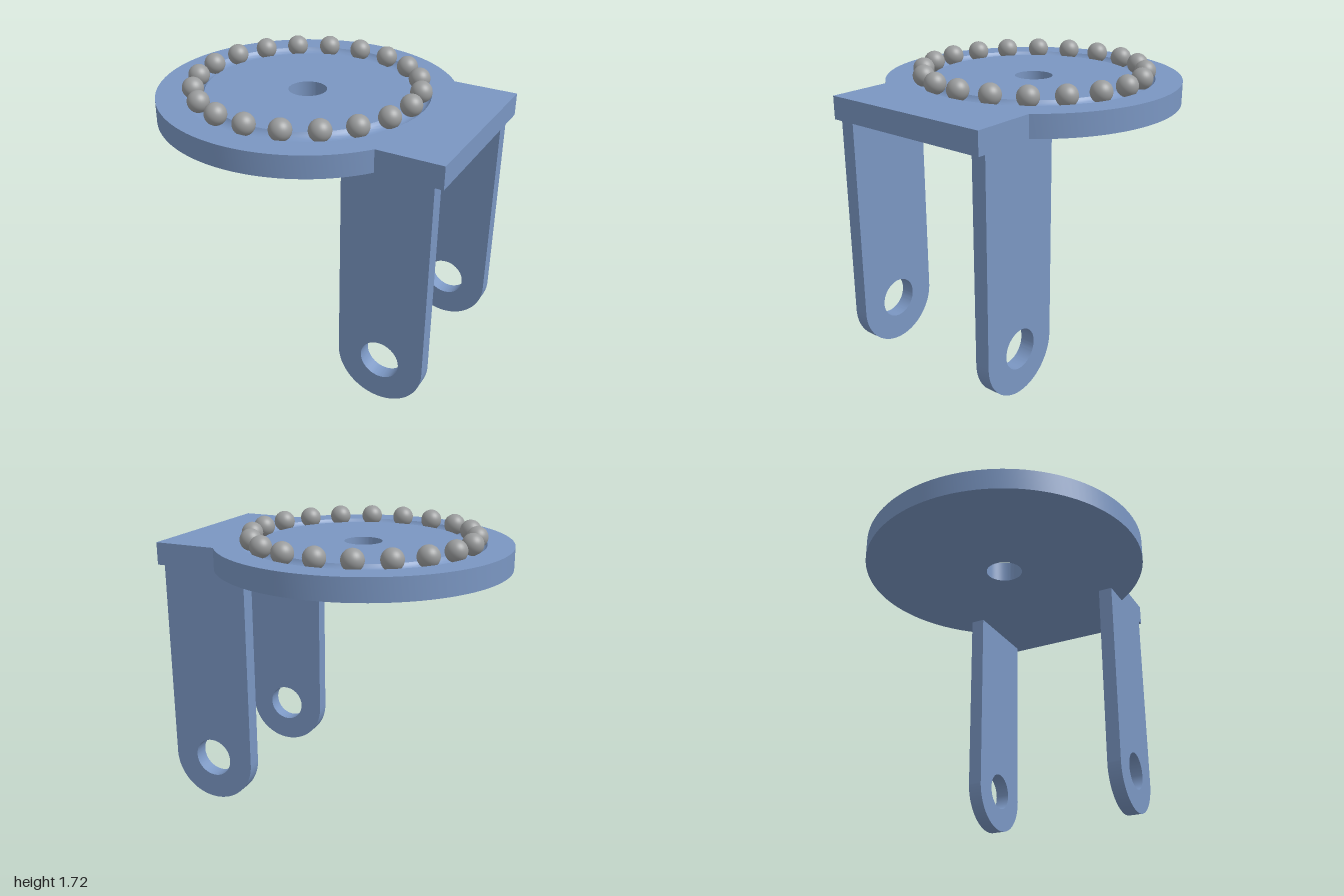
import * as THREE from 'three';
import { toCreasedNormals } from 'three/addons/utils/BufferGeometryUtils.js';

const BOTTOM = 1.485, TOP = 1.62;        // platform heights
const CX = -0.105, DISC_R = 0.895;       // disc centre and radius
const TAB_Z = 0.54;                      // half width of the mounting tab
const TRACK_R = 0.673, BALL_R = 0.065, BALL_Y = 1.655;
const GROOVE_R = 0.07;

const steelBlue = new THREE.MeshStandardMaterial({ color: 0x7a96c2 });
steelBlue.name = 'steelBlue';
const ballGrey = new THREE.MeshStandardMaterial({ color: 0x9a9c9d });
ballGrey.name = 'ballGrey';

function circleHole(x, y, r) {
  return new THREE.Path().absarc(x, y, r, 0, Math.PI * 2, true);
}

function extrude(shape, depth) {
  const geo = new THREE.ExtrudeGeometry(shape, { depth, bevelEnabled: false, curveSegments: 48 });
  return toCreasedNormals(geo, 0.5);
}

function addMesh(parent, name, geometry, material) {
  const mesh = new THREE.Mesh(geometry, material);
  mesh.name = name;
  parent.add(mesh);
  return mesh;
}

export function createModel() {
  const model = new THREE.Group();
  model.name = 'ballBearingStand';

  const grooveHalf = Math.sqrt(GROOVE_R ** 2 - (BALL_Y - TOP) ** 2);
  const rimInner = TRACK_R + grooveHalf;

  // Outer rim of the disc joined to the square mounting tab
  const a = Math.asin(TAB_Z / DISC_R);
  const outline = new THREE.Shape();
  outline.moveTo(1, -TAB_Z);
  outline.lineTo(1, TAB_Z);
  outline.absarc(CX, 0, DISC_R, a, Math.PI * 2 - a, false);
  outline.closePath();
  outline.holes.push(circleHole(CX, 0, rimInner));
  const rim = addMesh(model, 'platformRimAndTab', extrude(outline, TOP - BOTTOM), steelBlue);
  rim.rotation.x = -Math.PI / 2;
  rim.position.y = BOTTOM;

  // Inner disc: rounded ball groove, flat top, centre hole and underside
  const profile = [];
  const sweep = Math.asin(grooveHalf / GROOVE_R);
  for (let i = 0; i <= 16; i++) {
    const t = sweep * (1 - i / 8);
    profile.push(new THREE.Vector2(TRACK_R + GROOVE_R * Math.sin(t), BALL_Y - GROOVE_R * Math.cos(t)));
  }
  profile.push(
    new THREE.Vector2(0.115, TOP),
    new THREE.Vector2(0.115, BOTTOM),
    new THREE.Vector2(rimInner, BOTTOM)
  );
  const disc = addMesh(model, 'groovedDisc',
    toCreasedNormals(new THREE.LatheGeometry(profile, 96), 0.5), steelBlue);
  disc.position.x = CX;

  // Ring of bearing balls
  const balls = new THREE.Group();
  balls.name = 'bearingBalls';
  const ballGeo = new THREE.SphereGeometry(BALL_R, 32, 20);
  for (let i = 0; i < 20; i++) {
    const t = (i / 20) * Math.PI * 2;
    const ball = addMesh(balls, 'ball', ballGeo, ballGrey);
    ball.position.set(CX + TRACK_R * Math.cos(t), BALL_Y, TRACK_R * Math.sin(t));
  }
  model.add(balls);

  // Two round-ended legs with pivot holes
  const legX = 0.683, legR = 0.268, legT = 0.09;
  const leg = new THREE.Shape();
  leg.moveTo(legX + legR, BOTTOM);
  leg.lineTo(legX - legR, BOTTOM);
  leg.absarc(legX, legR, legR, Math.PI, Math.PI * 2, false);
  leg.closePath();
  leg.holes.push(circleHole(legX, 0.273, 0.12));
  const legGeo = extrude(leg, legT);
  addMesh(model, 'frontLeg', legGeo, steelBlue).position.z = TAB_Z - legT;
  addMesh(model, 'backLeg', legGeo, steelBlue).position.z = -TAB_Z;

  return model;
}
